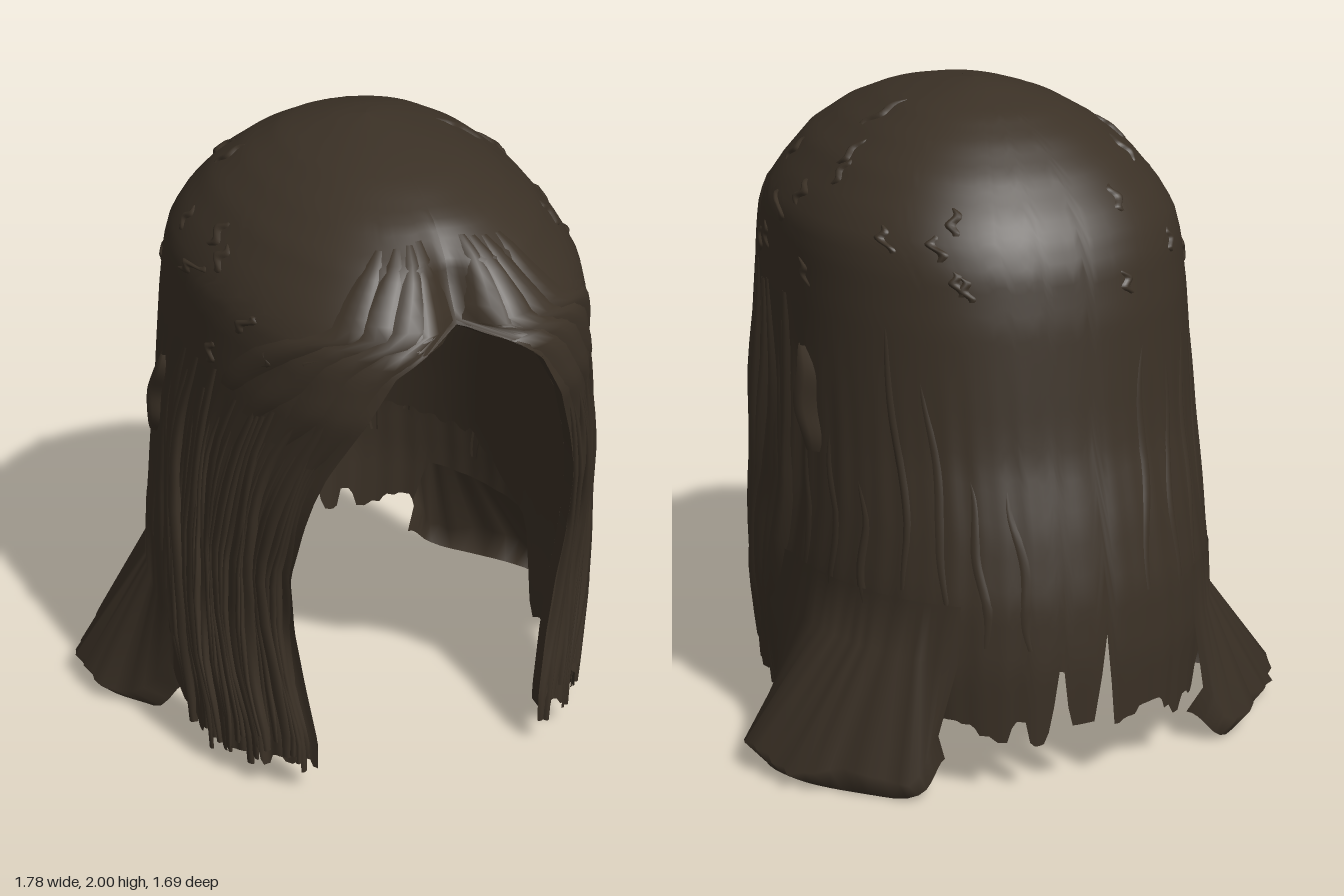
import * as THREE from 'three';

const hair = new THREE.MeshStandardMaterial({ color: 0x3b3126, side: THREE.DoubleSide });
hair.name = 'dark brown hair';

// Height, half width, front depth, back depth, half width of the face opening
const RINGS = [
  [2.0, 0, 0, 0, 0], [1.99, 0.08, 0.12, 0.1, 0], [1.97, 0.16, 0.26, 0.18, 0], [1.94, 0.25, 0.4, 0.28, 0],
  [1.88, 0.355, 0.56, 0.39, 0], [1.8, 0.455, 0.69, 0.495, 0], [1.7, 0.535, 0.78, 0.59, 0],
  [1.64, 0.57, 0.83, 0.63, 0], [1.62, 0.58, 0.85, 0.64, 0.12], [1.55, 0.595, 0.87, 0.67, 0.22],
  [1.4, 0.61, 0.885, 0.7, 0.3], [1.2, 0.625, 0.815, 0.72, 0.38], [1.1, 0.632, 0.785, 0.73, 0.41],
  [1.0, 0.638, 0.75, 0.745, 0.43], [0.8, 0.65, 0.66, 0.8, 0.45], [0.6, 0.665, 0.6, 0.84, 0.43],
  [0.4, 0.67, 0.59, 0.85, 0.4], [0.2, 0.65, 0.61, 0.84, 0.37], [0, 0.64, 0.61, 0.83, 0.37],
];
const { lerp, clamp, smoothstep } = THREE.MathUtils;
const rnd = (i) => { const v = Math.sin(i * 127.1 + 11.7) * 43758.5453; return v - Math.floor(v); };

function ring(y) {
  let i = 0;
  while (i < RINGS.length - 2 && RINGS[i + 1][0] > y) i++;
  const a = RINGS[i], b = RINGS[i + 1];
  const t = clamp((a[0] - y) / (a[0] - b[0]), 0, 1);
  return a.map((v, k) => lerp(v, b[k], t));
}

// Point on the hair: s runs from the back (0) to the face edge (1 left, -1 right); d is an offset outwards
function onHair(s, y, d = 0) {
  const [, X, F, B, W] = ring(y);
  const ripple = lerp(0.001, 0.006, smoothstep(Math.abs(s), 0.5, 0.65)) * (1 - smoothstep(y, 0.9, 1.4));
  if (d > -0.04) d += ripple * (Math.sin(s * 85) + Math.sin(s * 137 + 1));
  const w = Math.max(X + d, 0);
  const nFront = lerp(2.75, 2.2, smoothstep(y, 0.6, 1.5));
  const edge = w > 0 ? Math.PI - Math.asin(Math.pow(Math.min(W / w, 1), nFront / 2)) : Math.PI;
  const a = Math.abs(s) * edge;
  const front = a > Math.PI / 2;
  const e = 2 / (front ? nFront : 2.25);
  const x = Math.sign(s) * w * Math.pow(Math.max(Math.sin(a), 0), e);
  let z = -Math.sign(Math.cos(a)) * Math.max((front ? F : B) + d, 0) * Math.pow(Math.abs(Math.cos(a)), e);
  // centre parting
  if (front) z *= 1 - 0.12 * Math.exp(-((x / 0.07) ** 2)) * smoothstep(y, 1.5, 1.6) * (1 - smoothstep(y, 1.7, 1.95));
  return [x, y + d * clamp((y - 1.4) / 0.6, 0, 1), z];
}

// Ragged lower edge, with two deep gaps at the back and a higher edge where the flares take over
function hem(s) {
  const t = Math.abs(s), c = t * 34, i = Math.floor(c), side = s < 0 ? 100 : 0;
  const n = lerp(rnd(i + side), rnd(i + 1 + side), smoothstep(c - i, 0.3, 0.7));
  const base = lerp(0.15, 0.08, smoothstep(t, 0.35, 0.6)) + 0.09 * n;
  const x = 0.68 * Math.sin(2.5 * s);
  const ragged = Math.max(base, 0.5 - 12 * Math.abs(x + 0.025), 0.45 - 9 * Math.abs(x - 0.085));
  return lerp(ragged, 0.38, smoothstep(t, 0.24, 0.29) * (1 - smoothstep(t, 0.55, 0.6)));
}

// Grid surface from a rule f(u, v)
function sheet(name, f, nu, nv) {
  const pos = [], idx = [];
  for (let j = 0; j <= nv; j++) for (let i = 0; i <= nu; i++) {
    pos.push(...f(i / nu, j / nv));
    if (i < nu && j < nv) {
      const a = j * (nu + 1) + i, b = a + nu + 1;
      idx.push(a, b, a + 1, b, b + 1, a + 1);
    }
  }
  const g = new THREE.BufferGeometry();
  g.setAttribute('position', new THREE.Float32BufferAttribute(pos, 3));
  g.setIndex(idx);
  g.computeVertexNormals();
  const m = new THREE.Mesh(g, hair);
  m.name = name;
  return m;
}

// Tapered, raised strand lying on the hair from (s0, y0) to (s1, y1)
function lock(name, s0, y0, s1, y1, width, lift) {
  return sheet(name, (u, v) => {
    const taper = Math.pow(Math.sin(Math.PI * lerp(0.04, 0.9, v)), 0.5);
    const s = lerp(s0, s1, v) + (u - 0.5) * width * taper + 0.006 * Math.sin(v * 9 + s0 * 50);
    return onHair(clamp(s, -1, 1), lerp(y0, y1, v), lift * Math.sin(Math.PI * u) * taper - 0.003);
  }, 4, 16);
}

// Hollow fan of hair spreading out behind each shoulder
function flare(side) {
  const rim = new THREE.CatmullRomCurve3([
    [0.645, 0.02], [0.76, -0.1], [0.88, -0.26], [0.84, -0.43], [0.7, -0.6], [0.53, -0.73], [0.44, -0.69],
  ].map(([x, z]) => new THREE.Vector3(x, 0, z)));
  return sheet('shoulderFlare', (u, v) => {
    const k = Math.round(v * 3), r = rim.getPoint(u);
    const s = side * lerp(0.63, 0.22, u);
    const fold = 1 + 0.045 * (rnd(Math.round(u * 32) + side * 40) - 0.5);
    const rise = 0.14 * (1 - smoothstep(u, 0, 0.15)) + 0.1 * smoothstep(u, 0.75, 1);
    if (k === 0) return onHair(s, 0.6, 0.002);
    if (k === 1) return onHair(s, 0.42, 0.006);
    if (k === 2) return [side * r.x * fold, 0.07 + rise + 0.02 * Math.sin(u * 21), r.z * fold];
    return [side * r.x * 0.93, rise, r.z * 0.97];
  }, 32, 3);
}

export function createModel() {
  const group = new THREE.Group();
  group.name = 'hair';

  // Outer hair, from crown to ragged hem
  group.add(sheet('outerHair', (u, v) => {
    const s = u * 2 - 1;
    return onHair(s, 2 - (2 - hem(s)) * Math.pow(v, 1.7));
  }, 260, 56));

  // Smooth inner lining, short at the back and full length at the sides
  const T = -0.045;
  group.add(sheet('innerLining', (u, v) => {
    const s = u * 2 - 1;
    const back = 0.58 + 0.04 * rnd(Math.round(u * 80));
    const low = lerp(back, hem(s), smoothstep(Math.abs(s), 0.38, 0.6));
    return onHair(s, 2 - (2 - low) * Math.pow(v, 1.7), T);
  }, 160, 50));

  for (const side of [-1, 1]) {
    // Edge around the face
    group.add(sheet('faceEdge', (u, v) => onHair(side, lerp(1.64, hem(side), Math.pow(v, 1.5)), T * u), 1, 50));

    // Fringe swept from the parting
    for (let i = 0; i < 4; i++) {
      group.add(lock('fringeLock', side * (0.96 - i * 0.03), 1.85 - i * 0.005,
        side * (0.95 - i * 0.07), 1.22 + 0.05 * i, 0.08, 0.012));
    }

    // Hanging strands beside the face
    for (let i = 0; i < 28; i++) {
      const r = rnd(i + side * 300), s = lerp(0.61, 0.985, i / 27);
      group.add(lock('sideLock', side * s, 1.2 + 0.22 * r, side * (s + 0.01 * (r - 0.5)),
        0.06 + 0.16 * rnd(i + side * 500), 0.022 + 0.02 * r, 0.008 + 0.014 * r));
    }

    // Thin strands over the back
    for (let i = 0; i < 7; i++) {
      const r = rnd(i + side * 700), s = side * lerp(0.1, 0.54, i / 6);
      group.add(lock('backLock', s + side * 0.03, 0.9 + 0.6 * r, s, 0.45 + 0.2 * r, 0.025, 0.007));
    }

    // Small loose tufts scattered over the crown and back
    for (let i = 0; i < 14; i++) {
      const r = rnd(i + side * 900), s = side * lerp(0.08, 0.85, rnd(i + side * 950)), y = 1.45 + 0.5 * r;
      group.add(lock('looseTuft', s, y, s + 0.03 * (r - 0.5), y - 0.07, 0.025, 0.012));
    }

    // Tuft standing out behind the ear
    group.add(lock('earTuft', side * 0.56, 1.26, side * 0.54, 0.96, 0.06, 0.04));

    group.add(flare(side));
  }
  return group;
}
